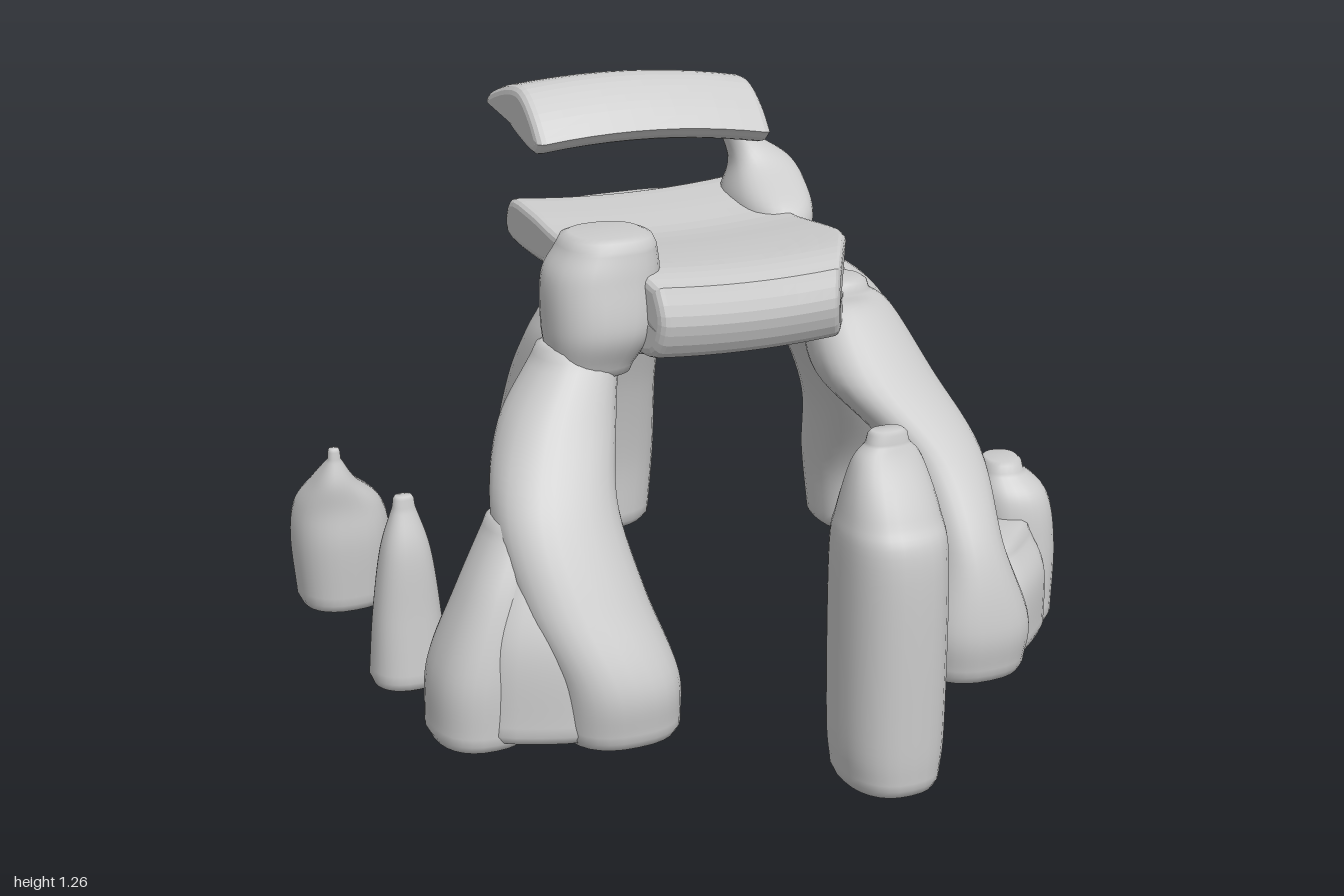
import * as THREE from 'three';

const material = new THREE.MeshStandardMaterial({ color: 0xcccccc, side: THREE.DoubleSide });

// Smooth closed stone from horizontal sections [y, x, z, radiusX, radiusZ], bottom to top
function stone(name, sections, { n = 2.4, turn = 0, cap = 0.025 } = {}) {
  const N = 28, M = sections.length * 6;
  const centre = new THREE.CatmullRomCurve3(sections.map(([y, x, z]) => new THREE.Vector3(x, y, z)), false, 'catmullrom', 0.5);
  const radius = new THREE.CatmullRomCurve3(sections.map((s) => new THREE.Vector3(s[3], 0, s[4])), false, 'catmullrom', 0.5);
  const rings = [];
  const add = (t, scale, dy) => rings.push([centre.getPoint(t).add(new THREE.Vector3(0, dy, 0)), radius.getPoint(t).multiplyScalar(scale)]);
  // rounded bottom, body, rounded top
  add(0, 0, -cap); add(0, 0.75, -cap); add(0, 0.92, -cap * 0.7);
  for (let i = 0; i <= M; i++) add(i / M, 1, 0);
  add(1, 0.92, cap * 0.7); add(1, 0.75, cap); add(1, 0, cap);
  const pos = [], idx = [];
  const power = (v) => Math.sign(v) * Math.abs(v) ** (2 / n);
  rings.forEach(([c, r], i) => {
    for (let j = 0; j < N; j++) {
      const a = (j / N) * Math.PI * 2;
      const u = power(Math.cos(a)) * r.x, v = power(Math.sin(a)) * r.z;
      pos.push(c.x + u * Math.cos(turn) + v * Math.sin(turn), c.y, c.z - u * Math.sin(turn) + v * Math.cos(turn));
      if (i === rings.length - 1) continue;
      const p = i * N + j, q = i * N + (j + 1) % N;
      idx.push(p, p + N, q, q, p + N, q + N);
    }
  });
  const g = new THREE.BufferGeometry();
  g.setAttribute('position', new THREE.Float32BufferAttribute(pos, 3));
  g.setIndex(idx);
  g.computeVertexNormals();
  const mesh = new THREE.Mesh(g, material);
  mesh.name = name;
  return mesh;
}

// Slab with a (z, y) side profile, extruded from x0 to x1 with rounded ends, then bent by a rule
function slab(name, profile, x0, x1, bend) {
  const b = 0.02;
  const curve = new THREE.SplineCurve([...profile, profile[0]].map(([z, y]) => new THREE.Vector2(-z, y)));
  const shape = new THREE.Shape(curve.getPoints(profile.length * 4).slice(0, -1));
  const g = new THREE.ExtrudeGeometry(shape, {
    depth: x1 - x0 - 2 * b, steps: 10, bevelSize: b, bevelOffset: -b, bevelThickness: b, bevelSegments: 3,
  });
  g.translate(0, 0, x0 + b).rotateY(Math.PI / 2);
  const p = g.attributes.position, v = new THREE.Vector3();
  for (let i = 0; i < p.count; i++) {
    v.fromBufferAttribute(p, i);
    bend(v);
    p.setXYZ(i, v.x, v.y, v.z);
  }
  g.computeVertexNormals();
  const mesh = new THREE.Mesh(g, material);
  mesh.name = name;
  return mesh;
}

export function createModel() {
  const model = new THREE.Group();
  model.name = 'stoneTable';

  // Seat: thin sheet with a thick rolled front edge, cut away at the left front corner
  model.add(slab('seat', [
    [0.31, 0.93], [0.22, 0.95], [0.05, 0.945], [-0.15, 0.93], [-0.32, 0.95], [-0.46, 0.95],
    [-0.48, 0.86], [-0.3, 0.84], [-0.1, 0.85], [0.08, 0.85], [0.17, 0.78], [0.29, 0.77], [0.335, 0.85],
  ], -0.3, 0.29, (v) => {
    if (v.z > 0.12) v.x *= 1 - (v.x > 0 ? 2.1 : 0.6) * (v.z - 0.12);
    v.y += 0.2 * v.x * v.x;
  }));

  // Knob on the right front corner
  model.add(stone('cornerKnob', [
    [0.76, -0.36, 0.17, 0.09, 0.09], [0.84, -0.34, 0.17, 0.12, 0.12],
    [0.95, -0.33, 0.16, 0.125, 0.115], [1.015, -0.315, 0.16, 0.105, 0.1],
  ]));

  // Upright at the left rear, carrying the top plank
  model.add(stone('rearUpright', [
    [0.86, 0.28, -0.27, 0.08, 0.16], [0.95, 0.29, -0.29, 0.09, 0.15],
    [1.03, 0.3, -0.34, 0.075, 0.07], [1.1, 0.25, -0.37, 0.035, 0.05], [1.17, 0.24, -0.38, 0.035, 0.06],
  ]));

  // Top plank: arched slab, sagging toward both ends
  model.add(slab('topPlank', [
    [-0.22, 1.14], [-0.27, 1.2], [-0.34, 1.245], [-0.43, 1.24], [-0.55, 1.2],
    [-0.55, 1.17], [-0.44, 1.155], [-0.36, 1.13], [-0.26, 1.11],
  ], -0.31, 0.27, (v) => {
    v.y += 0.015 - 0.28 * (v.x + 0.08) ** 2;
    v.z += 0.04 * v.x;
  }));

  // Back panel joining the seat to the rear leg
  model.add(stone('backPanel', [
    [0.56, 0, -0.58, 0.14, 0.09], [0.67, 0, -0.49, 0.15, 0.065],
    [0.78, 0, -0.48, 0.19, 0.065], [0.91, 0, -0.49, 0.2, 0.06],
  ], { n: 3.5 }));
  model.add(stone('rearLeg', [
    [0.03, 0, -0.805, 0.18, 0.17], [0.2, 0, -0.81, 0.195, 0.185], [0.4, 0, -0.755, 0.18, 0.17],
    [0.54, 0, -0.68, 0.165, 0.14], [0.61, 0, -0.65, 0.14, 0.13],
  ], { n: 2.6 }));

  // Left rear leg, leaning outward, with a web behind its top
  model.add(stone('leftRearLeg', [
    [0.035, 0.68, -0.465, 0.15, 0.13], [0.2, 0.675, -0.465, 0.16, 0.145], [0.4, 0.61, -0.37, 0.145, 0.15],
    [0.6, 0.5, -0.3, 0.14, 0.15], [0.75, 0.38, -0.25, 0.14, 0.15], [0.86, 0.28, -0.26, 0.08, 0.12],
  ], { n: 2.7 }));
  model.add(stone('leftRearWeb', [
    [0.58, 0.44, -0.38, 0.06, 0.07], [0.7, 0.36, -0.39, 0.1, 0.07], [0.85, 0.26, -0.4, 0.09, 0.07],
  ]));

  // Left front leg with its side lobe and the low bridge between them
  model.add(stone('leftFrontLeg', [
    [0.04, 0.42, 0.47, 0.125, 0.125], [0.15, 0.42, 0.48, 0.13, 0.125], [0.32, 0.41, 0.45, 0.085, 0.11],
    [0.5, 0.4, 0.34, 0.1, 0.11], [0.66, 0.31, 0.22, 0.13, 0.12], [0.8, 0.27, 0.17, 0.1, 0.08], [0.85, 0.25, 0.17, 0.06, 0.06],
  ]));
  model.add(stone('leftFrontLobe', [
    [0.04, 0.67, 0.25, 0.095, 0.12], [0.2, 0.68, 0.24, 0.095, 0.12],
    [0.32, 0.67, 0.24, 0.085, 0.1], [0.38, 0.65, 0.23, 0.05, 0.06],
  ], { turn: -0.3 }));
  model.add(stone('leftFrontBridge', [
    [0.05, 0.555, 0.395, 0.14, 0.09], [0.18, 0.555, 0.39, 0.14, 0.09], [0.26, 0.56, 0.37, 0.12, 0.06],
  ], { turn: 0.72, n: 3 }));

  // Right front leg with its side lobe and bridge
  model.add(stone('rightFrontLeg', [
    [0.05, -0.43, 0.46, 0.13, 0.125], [0.17, -0.44, 0.46, 0.135, 0.13], [0.33, -0.49, 0.4, 0.14, 0.12],
    [0.5, -0.51, 0.32, 0.135, 0.11], [0.65, -0.46, 0.22, 0.125, 0.11], [0.78, -0.39, 0.16, 0.09, 0.09],
  ]));
  model.add(stone('rightFrontLobe', [
    [0.04, -0.7, 0.33, 0.105, 0.125], [0.18, -0.69, 0.33, 0.105, 0.125],
    [0.34, -0.64, 0.33, 0.09, 0.1], [0.47, -0.58, 0.31, 0.08, 0.08],
  ]));
  model.add(stone('rightFrontBridge', [
    [0.06, -0.58, 0.41, 0.14, 0.1], [0.25, -0.57, 0.4, 0.13, 0.1], [0.42, -0.54, 0.36, 0.1, 0.08],
  ], { turn: -0.42, n: 3 }));

  // Free-standing front pillar with a pointed top
  model.add(stone('frontPillar', [
    [0.035, -0.01, 0.87, 0.1, 0.125], [0.15, -0.01, 0.87, 0.11, 0.13], [0.5, -0.01, 0.87, 0.11, 0.13],
    [0.6, -0.01, 0.865, 0.1, 0.1], [0.7, -0.01, 0.855, 0.075, 0.05], [0.74, -0.01, 0.855, 0.045, 0.03],
  ]));

  // Two free-standing pointed stones on the right side
  model.add(stone('sideStone', [
    [0.035, -0.74, 0.0, 0.085, 0.08], [0.18, -0.74, 0.005, 0.075, 0.065],
    [0.33, -0.74, 0.01, 0.055, 0.05], [0.43, -0.74, 0.01, 0.025, 0.02],
  ]));
  model.add(stone('rearSideStone', [
    [0.035, -0.73, -0.51, 0.105, 0.105], [0.18, -0.73, -0.51, 0.115, 0.115],
    [0.27, -0.735, -0.5, 0.1, 0.1], [0.34, -0.755, -0.46, 0.05, 0.06], [0.4, -0.76, -0.43, 0.015, 0.015],
  ]));

  // Remnants of the right rear leg hanging under the seat, and a loose chip
  model.add(stone('hangingSpur', [
    [0.62, -0.27, -0.06, 0.03, 0.03], [0.7, -0.24, -0.06, 0.06, 0.05],
    [0.78, -0.22, -0.1, 0.08, 0.1], [0.87, -0.23, -0.16, 0.08, 0.16],
  ]));
  model.add(stone('underRib', [
    [0.74, -0.08, 0.03, 0.16, 0.05], [0.8, -0.05, 0.03, 0.2, 0.08], [0.88, 0, 0.02, 0.22, 0.1],
  ]));
  model.add(stone('looseChip', [[1.07, 0.13, -0.63, 0.01, 0.01], [1.1, 0.13, -0.635, 0.015, 0.015]], { cap: 0.01 }));

  return model;
}
